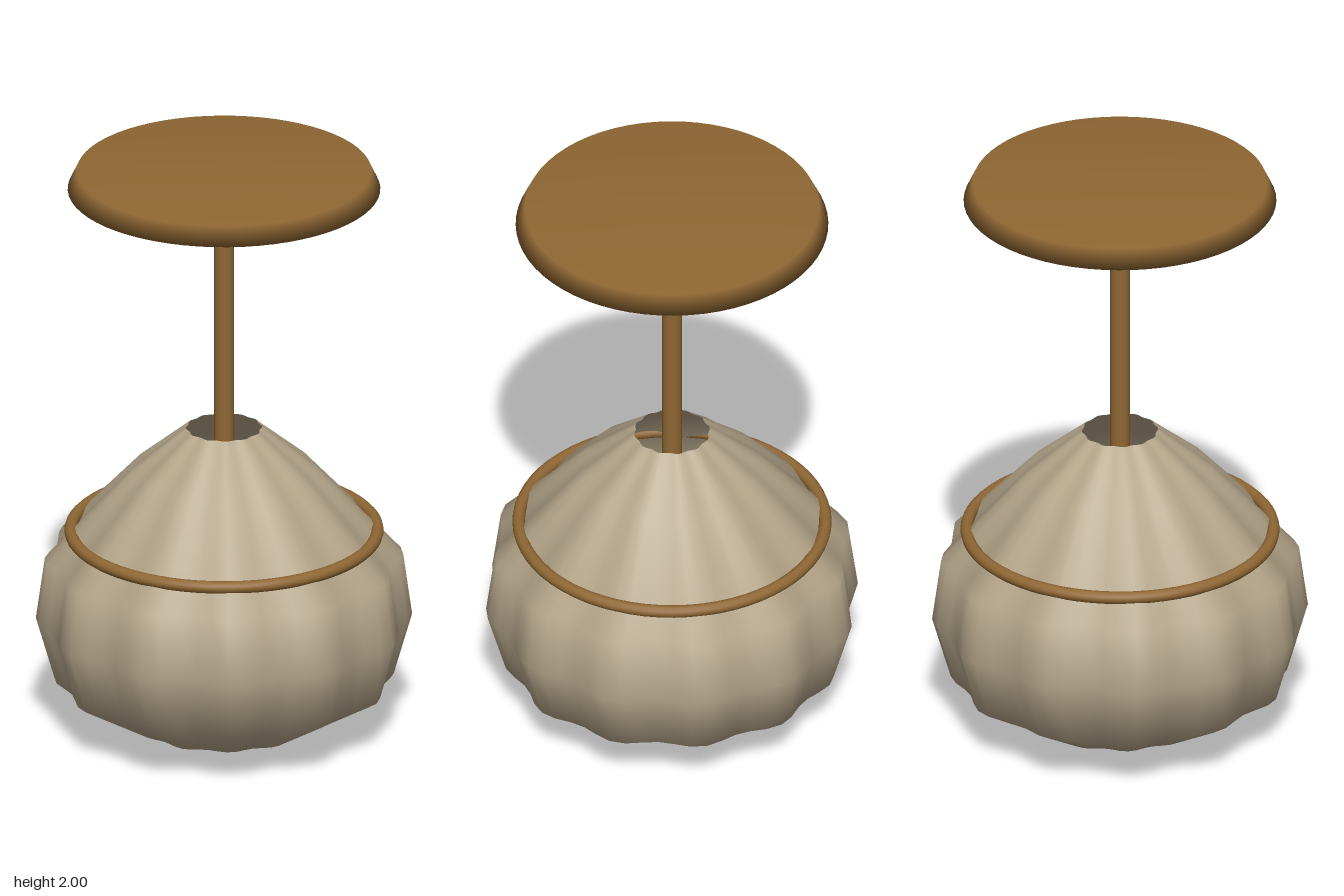
import * as THREE from 'three';
import { mergeVertices } from 'three/addons/utils/BufferGeometryUtils.js';

const clay = new THREE.MeshStandardMaterial({ color: 0xb5a68a, side: THREE.DoubleSide });
clay.name = 'clay';
const wood = new THREE.MeshStandardMaterial({ color: 0x8f6733 });
wood.name = 'wood';

const profile = (pairs) => pairs.map(([r, y]) => new THREE.Vector2(r, y));

function part(name, geometry, material, y = 0) {
  const mesh = new THREE.Mesh(geometry, material);
  mesh.name = name;
  mesh.position.y = y;
  return mesh;
}

// Lathe whose radius swells and shrinks in even lobes around the axis
function lobedLathe(points, segments, lobes, depth) {
  let geo = new THREE.LatheGeometry(profile(points), segments);
  const pos = geo.attributes.position;
  for (let i = 0; i < pos.count; i++) {
    const x = pos.getX(i), z = pos.getZ(i);
    const k = 1 + depth * Math.cos(lobes * Math.atan2(z, x));
    pos.setX(i, x * k);
    pos.setZ(i, z * k);
  }
  // weld the seam so that the lobes shade smoothly all the way round
  geo.deleteAttribute('uv');
  geo.deleteAttribute('normal');
  geo = mergeVertices(geo, 1e-4);
  geo.computeVertexNormals();
  return geo;
}

export function createModel() {
  const model = new THREE.Group();
  model.name = 'lobedVessel';

  // Gourd-like body, open at the neck
  model.add(part('body', lobedLathe([
    [0, 0.005], [0.303, 0.04], [0.549, 0.19], [0.609, 0.405],
    [0.58, 0.62], [0.3, 0.93], [0.124, 1.08],
  ], 64, 12, 0.03), clay));

  // Band around the shoulder
  const band = new THREE.TorusGeometry(0.51, 0.021, 12, 64);
  band.rotateX(Math.PI / 2);
  model.add(part('band', band, wood, 0.712));

  // Stem rising out of the neck
  const bottom = 0.4, top = 1.85;
  model.add(part('stem', new THREE.CylinderGeometry(0.033, 0.033, top - bottom, 24), wood, (top + bottom) / 2));

  // Flat-topped cap with a conical underside
  model.add(part('cap', new THREE.LatheGeometry(profile([
    [0, 1.835], [0.095, 1.835], [0.52, 1.936], [0.49, 2], [0, 2],
  ]), 64), wood));

  return model;
}
